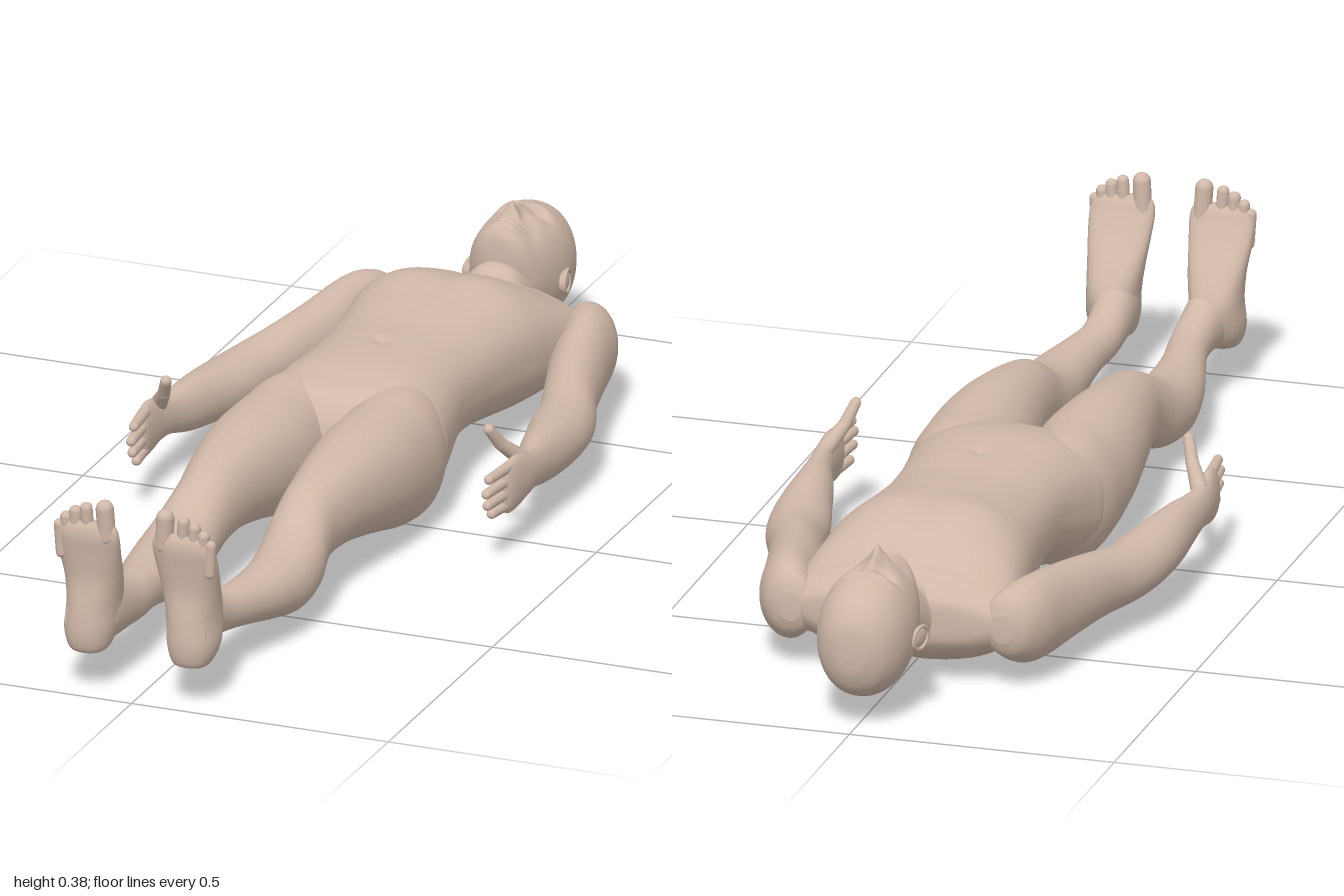
import * as THREE from 'three';

const skin = new THREE.MeshStandardMaterial({ color: 0xd0b8a8 });
skin.name = 'skin';

const gauss = (d, s) => Math.exp(-(d * d) / (s * s));
const spow = (v, e) => Math.sign(v) * Math.pow(Math.abs(v), e);

// Smooth interpolation of whole section rows
function sample(rows, t) {
  const f = t * (rows.length - 1);
  const i = Math.min(Math.floor(f), rows.length - 2);
  const u = f - i;
  const at = (k) => rows[Math.max(0, Math.min(rows.length - 1, k))];
  return rows[0].map((_, c) => {
    const [a, b, d, e] = [at(i - 1)[c], at(i)[c], at(i + 1)[c], at(i + 2)[c]];
    return b + 0.5 * u * (d - a + u * (2 * a - 5 * b + 4 * d - e + u * (3 * (b - d) + e - a)));
  });
}

// Closed loft along z; each row is [z, centre x, half width, low y, high y]
function loft(rows, { side = 1, around = 40, steps = 5, power = 2, deform } = {}) {
  const rings = (rows.length - 1) * steps;
  const pos = [], index = [];
  const ends = [];
  for (let i = 0; i <= rings; i++) {
    const [z, cx, rx, lo, hi] = sample(rows, i / rings);
    const cy = (lo + hi) / 2;
    if (i === 0 || i === rings) ends.push([cx * side, cy, z]);
    for (let j = 0; j < around; j++) {
      const a = (j / around) * Math.PI * 2;
      const p = new THREE.Vector3(
        cx * side + Math.max(rx, 0.001) * spow(Math.cos(a), 2 / power),
        cy + Math.max((hi - lo) / 2, 0.001) * spow(Math.sin(a), 2 / power), z);
      if (deform) deform(p, Math.sin(a));
      pos.push(p.x, p.y, p.z);
    }
  }
  for (let i = 0; i < rings; i++) {
    for (let j = 0; j < around; j++) {
      const k = (j + 1) % around;
      const a = i * around + j, b = i * around + k;
      index.push(a, b, a + around, b, b + around, a + around);
    }
  }
  const first = pos.length / 3, lastRing = rings * around;
  pos.push(...ends[0], ...ends[1]);
  for (let j = 0; j < around; j++) {
    const k = (j + 1) % around;
    index.push(first, k, j, first + 1, lastRing + j, lastRing + k);
  }
  const g = new THREE.BufferGeometry();
  g.setAttribute('position', new THREE.Float32BufferAttribute(pos, 3));
  g.setIndex(index);
  g.computeVertexNormals();
  return g;
}

// Rounded finger or toe segment between two points
function digit(a, b, r, taper = 0.85) {
  const from = new THREE.Vector3(...a), to = new THREE.Vector3(...b);
  const dir = to.clone().sub(from);
  const len = dir.length();
  const g = new THREE.CapsuleGeometry(r, len, 6, 16);
  const p = g.attributes.position;
  for (let i = 0; i < p.count; i++) {
    const s = THREE.MathUtils.lerp(1, taper, THREE.MathUtils.clamp(p.getY(i) / len + 0.5, 0, 1));
    p.setX(i, p.getX(i) * s);
    p.setZ(i, p.getZ(i) * s);
  }
  g.applyQuaternion(new THREE.Quaternion().setFromUnitVectors(new THREE.Vector3(0, 1, 0), dir.normalize()));
  const m = from.add(to).multiplyScalar(0.5);
  return g.translate(m.x, m.y, m.z);
}

const TORSO = [
  [-0.724, 0, 0.10, 0.10, 0.16], [-0.717, 0, 0.18, 0.08, 0.175], [-0.69, 0, 0.208, 0.05, 0.2],
  [-0.64, 0, 0.21, 0.025, 0.228], [-0.58, 0, 0.2, 0.017, 0.258], [-0.5, 0, 0.188, 0.02, 0.277],
  [-0.4, 0, 0.172, 0.035, 0.272], [-0.3, 0, 0.162, 0.05, 0.265], [-0.2, 0, 0.162, 0.048, 0.267],
  [-0.1, 0, 0.178, 0.012, 0.268], [-0.04, 0, 0.188, 0.003, 0.26], [0.02, 0, 0.175, 0.014, 0.242],
  [0.055, 0, 0.1, 0.05, 0.2], [0.07, 0, 0.04, 0.09, 0.15]];
const NECK = [
  [-0.86, 0, 0.05, 0.1, 0.2], [-0.8, 0, 0.06, 0.083, 0.205], [-0.75, 0, 0.064, 0.07, 0.215],
  [-0.715, 0, 0.074, 0.06, 0.202], [-0.68, 0, 0.1, 0.05, 0.204], [-0.62, 0, 0.06, 0.06, 0.2]];
const HEAD = [
  [-1, 0, 0.012, 0.145, 0.175], [-0.995, 0, 0.035, 0.11, 0.21], [-0.975, 0, 0.062, 0.075, 0.243],
  [-0.94, 0, 0.08, 0.055, 0.266], [-0.9, 0, 0.086, 0.049, 0.277], [-0.86, 0, 0.085, 0.055, 0.277],
  [-0.82, 0, 0.078, 0.075, 0.275], [-0.79, 0, 0.067, 0.1, 0.275], [-0.77, 0, 0.052, 0.14, 0.277],
  [-0.757, 0, 0.032, 0.18, 0.264], [-0.753, 0, 0.01, 0.205, 0.24]];
const ARM = [
  [-0.717, 0.2, 0.02, 0.1, 0.15], [-0.702, 0.206, 0.045, 0.07, 0.185], [-0.66, 0.22, 0.055, 0.045, 0.2],
  [-0.6, 0.235, 0.053, 0.04, 0.2], [-0.52, 0.251, 0.055, 0.045, 0.19], [-0.42, 0.279, 0.052, 0.052, 0.178],
  [-0.33, 0.309, 0.056, 0.056, 0.165], [-0.25, 0.323, 0.057, 0.06, 0.165], [-0.17, 0.335, 0.047, 0.065, 0.17],
  [-0.1, 0.343, 0.036, 0.075, 0.172], [-0.04, 0.353, 0.025, 0.09, 0.17], [0, 0.357, 0.021, 0.09, 0.175],
  [0.04, 0.357, 0.018, 0.083, 0.184], [0.075, 0.355, 0.014, 0.084, 0.178], [0.09, 0.353, 0.006, 0.1, 0.16]];
const LEG = [
  [-0.14, 0.09, 0.03, 0.1, 0.18], [-0.1, 0.093, 0.072, 0.03, 0.235], [-0.03, 0.1, 0.093, 0.003, 0.25],
  [0.05, 0.101, 0.098, 0.01, 0.25], [0.13, 0.102, 0.097, 0.032, 0.25], [0.22, 0.103, 0.086, 0.055, 0.248],
  [0.32, 0.102, 0.07, 0.073, 0.237], [0.4, 0.1, 0.06, 0.07, 0.222], [0.45, 0.103, 0.06, 0.055, 0.202],
  [0.5, 0.108, 0.064, 0.04, 0.175], [0.57, 0.112, 0.062, 0.037, 0.157], [0.65, 0.108, 0.054, 0.053, 0.152],
  [0.73, 0.097, 0.043, 0.07, 0.152], [0.8, 0.084, 0.038, 0.08, 0.158], [0.86, 0.083, 0.038, 0.085, 0.178],
  [0.91, 0.088, 0.041, 0.084, 0.2], [0.95, 0.095, 0.044, 0.085, 0.2], [0.985, 0.1, 0.036, 0.095, 0.185]];
// Foot rows run up the y axis: [y, centre x, half width, -sole z, -instep z]
const FOOT = [
  [0.077, 0.1, 0.02, -0.975, -0.94], [0.086, 0.1, 0.036, -0.992, -0.915], [0.12, 0.1, 0.047, -0.999, -0.89],
  [0.17, 0.097, 0.048, -0.996, -0.876], [0.22, 0.095, 0.053, -0.99, -0.9], [0.27, 0.095, 0.059, -0.994, -0.936],
  [0.305, 0.094, 0.061, -0.998, -0.957], [0.325, 0.093, 0.057, -0.996, -0.966], [0.337, 0.09, 0.045, -0.99, -0.974]];

// Chest, collarbones, navel, spine and buttock cleft
function shapeTorso(p, s) {
  const x = Math.abs(p.x), w = Math.abs(s);
  if (s > 0) {
    p.y += w * (0.007 * gauss(x - 0.085, 0.06) * gauss(p.z + 0.52, 0.07)
      - 0.005 * gauss(x, 0.012) * gauss(p.z + 0.5, 0.13)
      + 0.006 * gauss(p.z + 0.675 + x * 0.12, 0.012) * gauss(x - 0.09, 0.07)
      - 0.012 * gauss(x, 0.012) * gauss(p.z + 0.2, 0.011));
  } else {
    p.y += w * (0.03 * gauss(x, 0.014) * gauss(p.z - 0.0, 0.1)
      + 0.01 * gauss(x, 0.02) * gauss(p.z + 0.4, 0.22));
  }
}

// Nose, eye sockets, brows, lips and chin
function shapeFace(p, s) {
  if (s <= 0.2) return;
  const x = Math.abs(p.x), z = p.z;
  p.y += 0.028 * gauss(x, 0.011) * gauss(z + 0.826, 0.013)
    + 0.014 * gauss(x, 0.009) * gauss(z + 0.852, 0.022)
    + 0.009 * gauss(x - 0.014, 0.007) * gauss(z + 0.82, 0.008)
    - 0.014 * gauss(x - 0.033, 0.016) * gauss(z + 0.877, 0.011)
    + 0.004 * gauss(x - 0.035, 0.022) * gauss(z + 0.898, 0.008)
    + 0.008 * gauss(x, 0.02) * (gauss(z + 0.8, 0.005) + gauss(z + 0.787, 0.005))
    - 0.006 * gauss(x, 0.02) * gauss(z + 0.776, 0.005)
    + 0.005 * gauss(x, 0.018) * gauss(z + 0.765, 0.008)
    - 0.006 * gauss(x - 0.045, 0.015) * gauss(z + 0.81, 0.02);
}

export function createModel() {
  const body = new THREE.Group();
  body.name = 'lyingFigure';
  const add = (name, geometry) => {
    const mesh = new THREE.Mesh(geometry, skin);
    mesh.name = name;
    body.add(mesh);
    return mesh;
  };

  add('torso', loft(TORSO, { around: 120, steps: 8, power: 2.4, deform: shapeTorso }));
  add('neck', loft(NECK));
  add('head', loft(HEAD, { around: 120, steps: 9, power: 2.1, deform: shapeFace }));

  for (const side of [1, -1]) {
    const label = side > 0 ? 'left' : 'right';
    const at = ([x, y, z]) => [x * side, y, z];

    // Face details
    add(label + 'Eye', new THREE.SphereGeometry(0.012, 20, 14)).position.set(0.033 * side, 0.247, -0.877);
    const ear = add(label + 'Ear', new THREE.SphereGeometry(1, 20, 14));
    ear.scale.set(0.009, 0.02, 0.03);
    ear.position.set(0.087 * side, 0.15, -0.863);
    ear.rotation.y = 0.2 * side;
    const rim = add(label + 'EarRim', new THREE.TorusGeometry(0.023, 0.004, 8, 28));
    rim.rotation.y = Math.PI / 2 + 0.2 * side;
    rim.scale.set(1.15, 0.9, 1);
    rim.position.set(0.092 * side, 0.15, -0.864);

    // Arm, fingers and thumb
    add(label + 'Arm', loft(ARM, { side }));
    [[0.17, 0.135], [0.146, 0.148], [0.122, 0.142], [0.099, 0.122]].forEach(([y, tip], i) => {
      add(label + 'Finger' + (i + 1), digit(at([0.355, y, 0.06]), at([0.346, y, tip]), 0.0108));
    });
    add(label + 'ThumbBase', digit(at([0.352, 0.165, 0.0]), at([0.328, 0.2, 0.035]), 0.016, 0.75));
    add(label + 'ThumbTip', digit(at([0.328, 0.2, 0.035]), at([0.315, 0.234, 0.058]), 0.012));

    // Leg, foot and toes
    add(label + 'Leg', loft(LEG, { side, power: 2.1 }));
    add(label + 'Foot', loft(FOOT, { side, power: 2.3 }).rotateX(-Math.PI / 2));
    [[0.059, 0.365, 0.0165], [0.095, 0.361, 0.0115], [0.116, 0.352, 0.0115],
      [0.134, 0.339, 0.011], [0.147, 0.323, 0.0105]].forEach(([x, tip, r], i) => {
      add(label + 'Toe' + (i + 1), digit(at([x - 0.003, tip - 0.055, 0.98]), at([x, tip, 0.983]), r, 1));
    });
  }
  return body;
}
